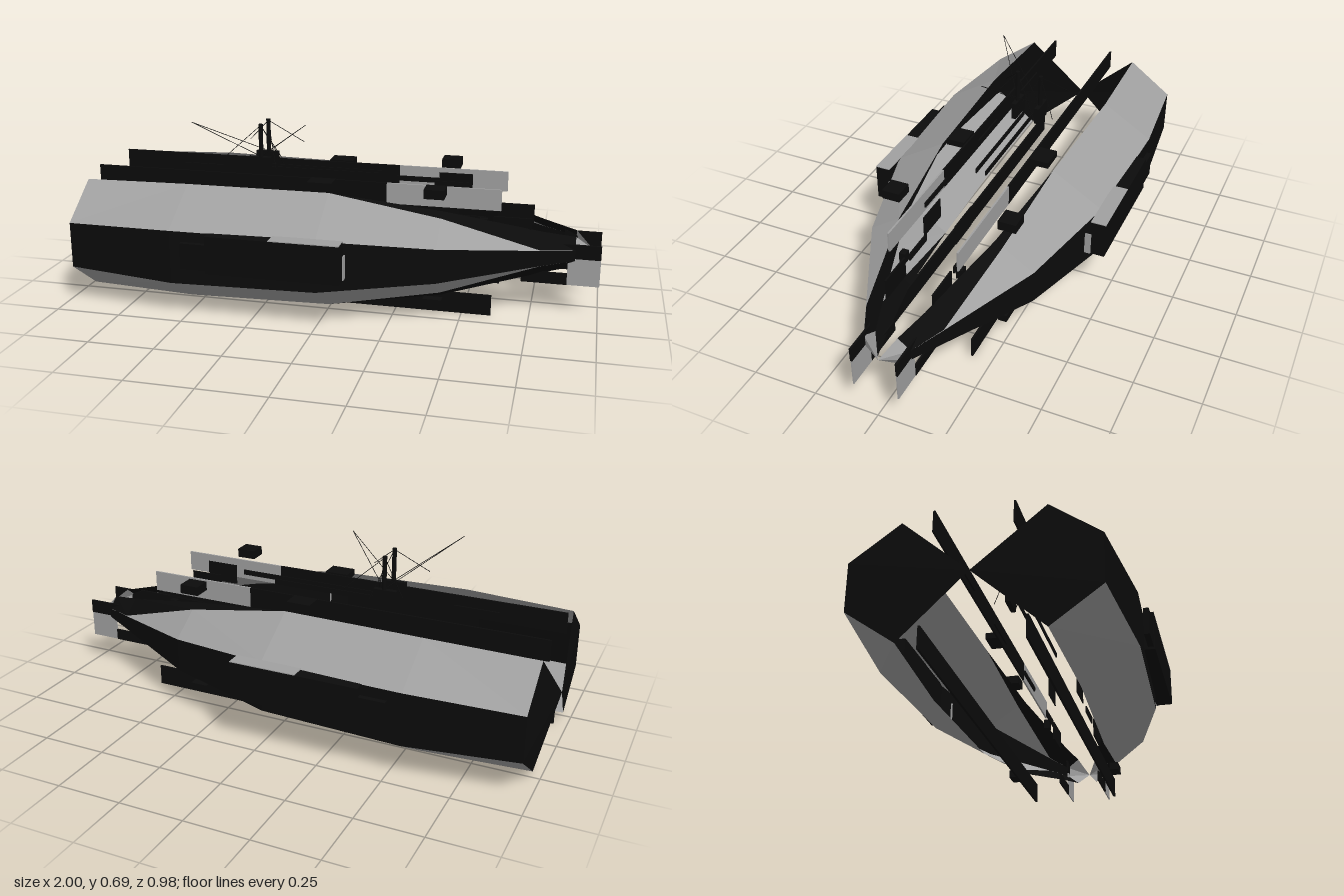
import * as THREE from 'three';

const grey = new THREE.MeshStandardMaterial({ color: 0xa0a0a0, side: THREE.DoubleSide });
grey.name = 'pale grey plating';
const black = new THREE.MeshStandardMaterial({ color: 0x0b0b0b, side: THREE.DoubleSide });
black.name = 'black plating';

const MID = 0.233;
// Hull stations: x, inner edge z, inner edge half height, outer edge z, outer edge half height, grey share
const stations = [
  [-0.97, 0.24, 0.215, 0.415, 0.088, 1],
  [-0.55, 0.255, 0.226, 0.457, 0.102, 1],
  [0.0, 0.235, 0.222, 0.437, 0.098, 1],
  [0.42, 0.18, 0.165, 0.33, 0.065, 0.8],
  [0.78, 0.08, 0.082, 0.152, 0.03, 0.02],
  [0.905, 0.042, 0.058, 0.09, 0.02, 0],
];

// Flat-shaded surface from a list of triangles
function shell(name, tris, material) {
  const geo = new THREE.BufferGeometry();
  geo.setAttribute('position', new THREE.Float32BufferAttribute(tris.flat(2), 3));
  geo.computeVertexNormals();
  const mesh = new THREE.Mesh(geo, material);
  mesh.name = name;
  return mesh;
}

function box(name, x0, x1, y0, y1, z0, z1, material) {
  const mesh = new THREE.Mesh(new THREE.BoxGeometry(x1 - x0, y1 - y0, Math.abs(z1 - z0)), material);
  mesh.position.set((x0 + x1) / 2, (y0 + y1) / 2, (z0 + z1) / 2);
  mesh.name = name;
  return mesh;
}

function rod(name, a, b, radius, material) {
  const p = new THREE.Vector3(...a), q = new THREE.Vector3(...b);
  const mesh = new THREE.Mesh(new THREE.CylinderGeometry(radius, radius, p.distanceTo(q), 8), material);
  mesh.position.copy(p).add(q).multiplyScalar(0.5);
  mesh.quaternion.setFromUnitVectors(new THREE.Vector3(0, 1, 0), q.sub(p).normalize());
  mesh.name = name;
  return mesh;
}

// One half of the hull; s = +1 or -1 picks the side
function hullSide(s) {
  const pale = [], dark = [];
  const quad = (list, a, b, c, d) => {
    // keep the winding outward on both sides
    if (s > 0) list.push([a, b, c], [a, c, d]);
    else list.push([a, c, b], [a, d, c]);
  };
  const tri = (list, a, b, c) => list.push(s > 0 ? [a, b, c] : [a, c, b]);
  const at = ([x, zi, hi, zo, ho, f], v) => ({
    inner: [x, MID + v * hi, s * zi],
    outer: [x, MID + v * ho, s * zo],
    split: [x, MID + v * (ho + (hi - ho) * f), s * (zo + (zi - zo) * f)],
  });
  for (let i = 0; i < stations.length - 1; i++) {
    const A = stations[i], B = stations[i + 1];
    for (const v of [1, -1]) {
      const a = at(A, v), b = at(B, v);
      const put = (list, p, q, r, t) => (v > 0 ? quad(list, p, q, r, t) : quad(list, t, r, q, p));
      if (A[5] > 0) put(pale, a.outer, b.outer, b.split, a.split);
      if (B[5] < 1) put(dark, a.split, b.split, b.inner, a.inner);
    }
    quad(dark, at(A, -1).outer, at(B, -1).outer, at(B, 1).outer, at(A, 1).outer);
  }
  // Pointed caps at bow and stern
  const fan = (list, st, apex, flip) => {
    const t = at(st, 1), b = at(st, -1);
    const ring = [t.inner, t.outer, b.outer, b.inner];
    for (let i = 0; i < 3; i++) {
      if (flip) tri(list, apex, ring[i], ring[i + 1]);
      else tri(list, apex, ring[i + 1], ring[i]);
    }
  };
  fan(pale, stations[stations.length - 1], [0.97, MID, 0], false);
  fan(dark, stations[0], [-1, MID - 0.008, 0], true);
  const g = new THREE.Group();
  g.name = s > 0 ? 'frontHull' : 'rearHull';
  g.add(shell('paleHullPanels', pale, grey), shell('darkHullPanels', dark, black));
  return g;
}

function fittings(s) {
  const g = new THREE.Group();
  g.name = s > 0 ? 'frontFittings' : 'rearFittings';
  const add = (name, x0, x1, y0, y1, z0, z1, m) => g.add(box(name, x0, x1, y0, y1, s * z0, s * z1, m));
  // Side pod with its pale forward deck and end plate
  add('sidePod', -0.4, 0.1, 0.19, 0.335, 0.43, 0.49, black);
  add('podTail', -0.5, -0.4, 0.2, 0.3, 0.465, 0.485, black);
  add('podDeck', -0.16, 0.1, 0.335, 0.338, 0.43, 0.49, grey);
  add('podEndPlate', 0.1, 0.104, 0.19, 0.28, 0.405, 0.435, grey);
  // Long upper and lower rails
  add('upperRail', -0.97, 0.2, 0.4, 0.48, 0.13, 0.137, black);
  add('upperRailBow', 0.2, 0.63, 0.4, 0.48, 0.13, 0.137, grey);
  add('lowerRail', -0.95, 0.61, 0.0, 0.08, 0.168, 0.176, black);
  // Bow fins
  add('bowFin', 0.88, 1.0, 0.115, 0.22, 0.083, 0.088, grey);
  add('bowFinBeam', 0.86, 1.0, 0.22, 0.275, 0.082, 0.09, black);
  add('bowFinBrace', 0.71, 0.88, 0.115, 0.16, 0.083, 0.09, black);
  add('bowGuide', 0.6, 0.74, 0.285, 0.365, 0.088, 0.095, black);
  // Deck boxes
  add('midDeckBox', -0.09, 0.005, 0.46, 0.485, 0.14, 0.215, black);
  add('foreDeckBox', 0.36, 0.435, 0.465, 0.495, 0.195, 0.265, black);
  add('foreDeckBoxLid', 0.36, 0.435, 0.495, 0.5, 0.195, 0.265, black);
  add('keelBox', 0.36, 0.43, 0.035, 0.065, 0.195, 0.23, black);
  add('hullStud', 0.55, 0.58, 0.32, 0.36, 0.1, 0.125, black);
  // Short inner plates
  for (const x of [-0.72, -0.28, 0.19]) add('innerPlate', x, x + 0.18, 0.42, 0.44, 0.122, 0.128, black);
  add('centrePlate', -0.32, 0.15, 0.465, 0.485, 0.018, 0.022, black);
  add('foreInnerPlate', 0.37, 0.5, 0.4, 0.48, 0.06, 0.064, black);
  add('foreLowPlate', 0.44, 0.57, 0.33, 0.36, 0.085, 0.09, black);
  // Mast, its base and aerials
  add('mastBase', -0.37, -0.28, 0.46, 0.53, 0.04, 0.06, black);
  g.add(rod('mast', [-0.32, 0.46, s * 0.05], [-0.32, 0.66, s * 0.05], 0.009, black));
  const tips = [[-0.2, 0.55, 0.15], [-0.43, 0.55, 0.15], [-0.26, 0.48, -0.05]];
  for (const [x, y, z] of tips) g.add(rod('stay', [-0.32, 0.655, s * 0.05], [x, y, s * z], 0.0012, black));
  const aerials = [[-0.54, 0.69, 0.21], [-0.12, 0.68, 0.12]];
  for (const [x, y, z] of aerials) g.add(rod('aerial', [-0.32, 0.53, s * 0.05], [x, y, z], 0.0012, black));
  return g;
}

export function createModel() {
  const model = new THREE.Group();
  model.name = 'twinHullShip';
  for (const s of [1, -1]) model.add(hullSide(s), fittings(s));
  return model;
}
